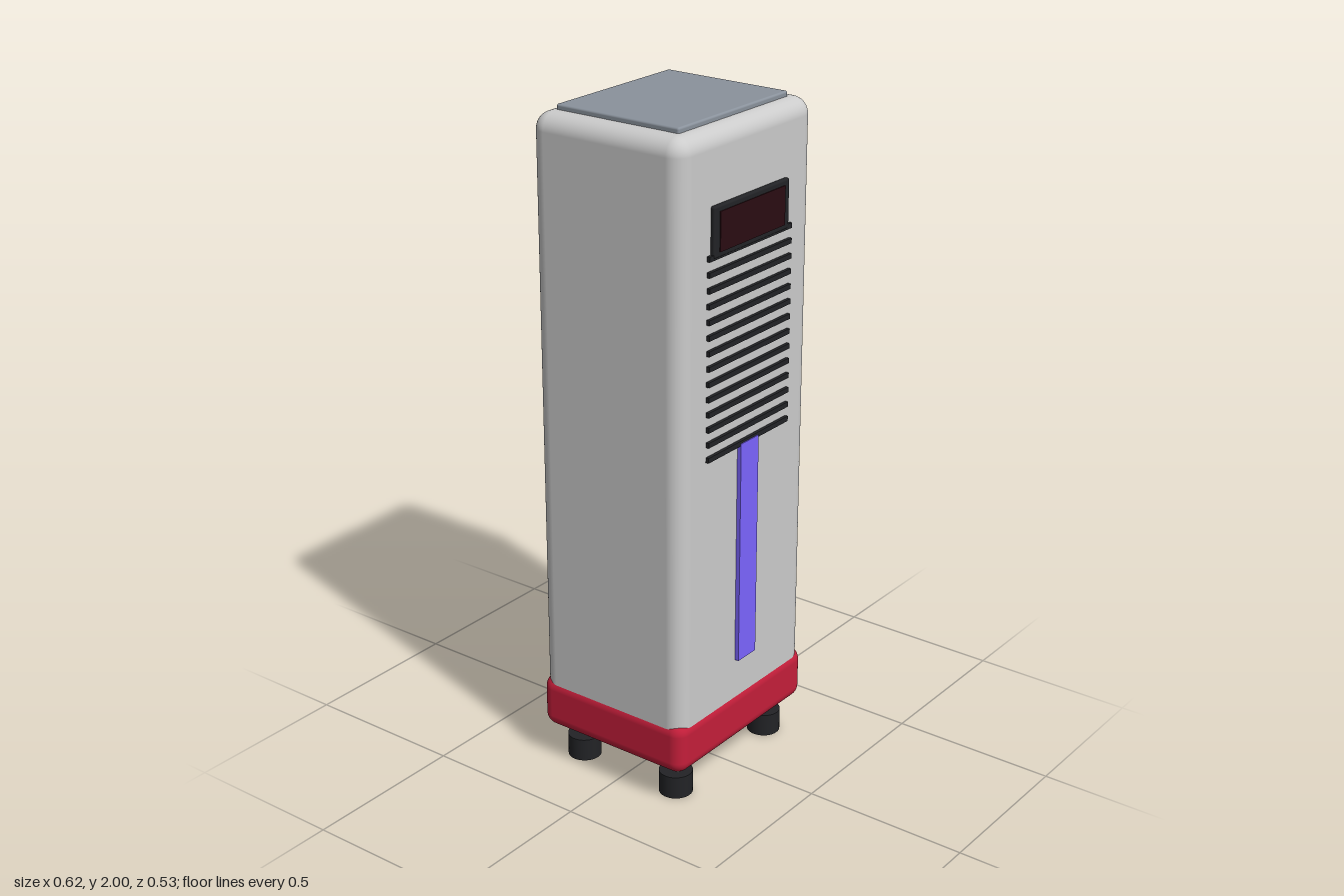
import * as THREE from 'three';
import { RoundedBoxGeometry } from 'three/addons/geometries/RoundedBoxGeometry.js';

const mat = (color) => new THREE.MeshStandardMaterial({ color });

export function createModel() {
  const model = new THREE.Group();
  const shell = mat(0xcccccc), red = mat(0xc41e3a), black = mat(0x222326);
  const screenRed = mat(0x2a0c12), violet = mat(0x7b64ff), slate = mat(0x8a929c);
  const midZ = -0.007; // centre of the cabinet in depth

  // Add a box given its limits on each axis; radius > 0 rounds its edges
  function block(name, material, [x0, x1], [y0, y1], [z0, z1], radius = 0) {
    const size = [x1 - x0, y1 - y0, z1 - z0];
    const geometry = radius
      ? new RoundedBoxGeometry(...size, 6, radius)
      : new THREE.BoxGeometry(...size);
    const mesh = new THREE.Mesh(geometry, material);
    mesh.name = name;
    mesh.position.set((x0 + x1) / 2, (y0 + y1) / 2, (z0 + z1) / 2);
    model.add(mesh);
  }

  // Cabinet, coloured base skirt, underside plate and lid
  block('cabinet', shell, [-0.305, 0.305], [0.13, 1.985], [midZ - 0.255, midZ + 0.255], 0.05);
  block('baseSkirt', red, [-0.31, 0.31], [0.108, 0.275], [midZ - 0.26, midZ + 0.26], 0.04);
  block('undersidePlate', shell, [-0.28, 0.28], [0.106, 0.13], [midZ - 0.23, midZ + 0.23]);
  block('topPanel', slate, [-0.246, 0.246], [1.97, 2], [-0.213, 0.197], 0.006);

  // Display on the front
  block('displayFrame', black, [-0.174, 0.172], [1.64, 1.783], [0.235, 0.26], 0.006);
  block('displayScreen', screenRed, [-0.15, 0.148], [1.655, 1.767], [0.245, 0.263]);

  // Vent slats
  const slats = 14;
  for (let i = 0; i < slats; i++) {
    const y = 1.066 + (i * 0.577) / (slats - 1);
    block('ventSlat', black, [-0.19, 0.19], [y - 0.0075, y + 0.0075], [0.24, 0.258]);
  }

  // Light strip below the vent
  block('lightStrip', violet, [-0.042, 0.042], [0.38, 1.066], [0.24, 0.261]);

  // Four feet
  const footGeometry = new THREE.CylinderGeometry(0.05, 0.05, 0.07, 32);
  for (const x of [-0.222, 0.222]) {
    for (const z of [-0.175, 0.17]) {
      const foot = new THREE.Mesh(footGeometry, black);
      foot.name = 'foot';
      foot.position.set(x, 0.035, z);
      model.add(foot);
    }
  }
  return model;
}
